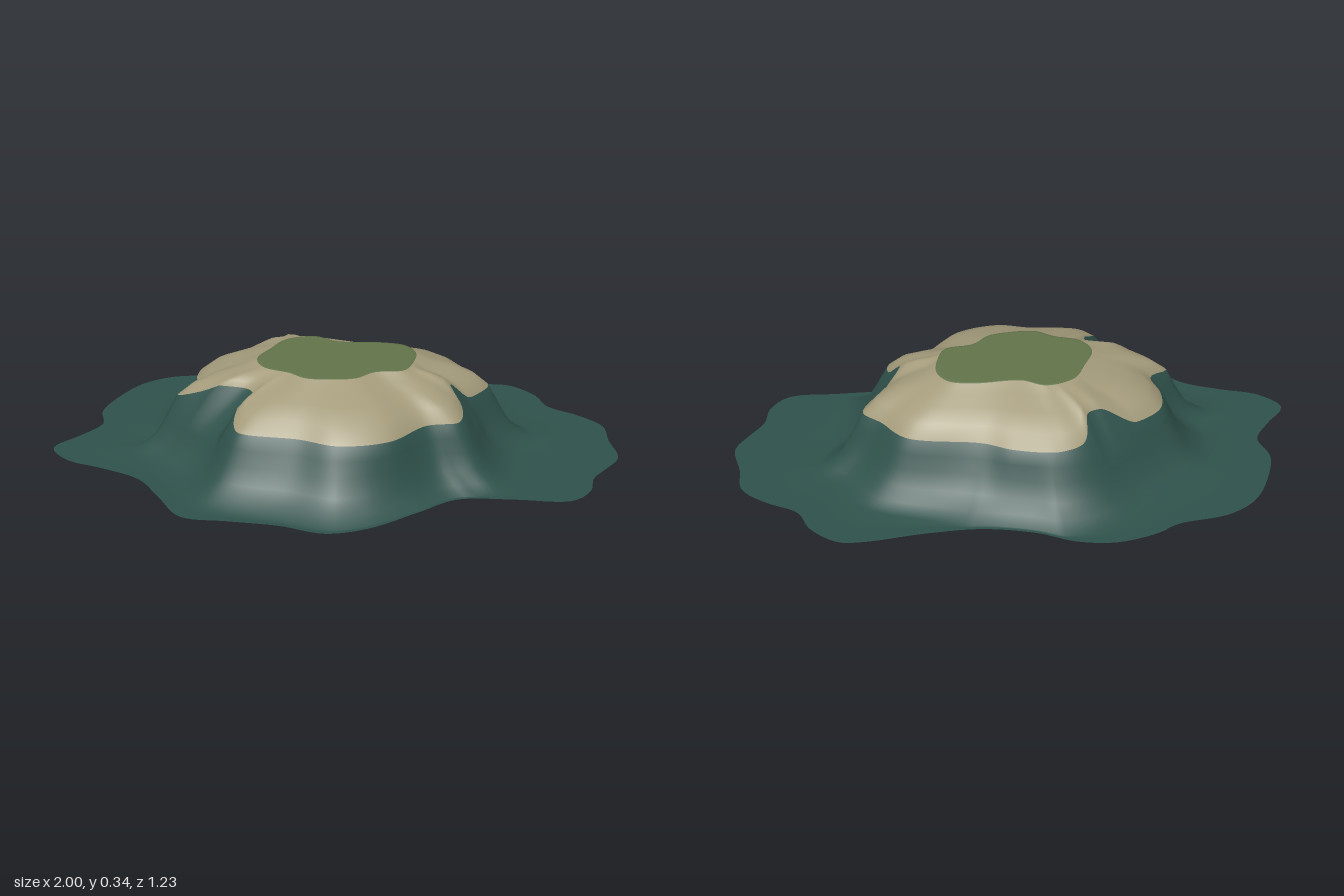
import * as THREE from 'three';

const SEGMENTS = 240;

// Contour lines of the island as [x, z] points, running round the centre
const shoreLine = [
  [1, .05], [.98, -.08], [.97, -.19], [.89, -.27], [.78, -.34], [.74, -.43], [.65, -.51], [.57, -.52],
  [.35, -.5], [.17, -.5], [0, -.54], [-.13, -.6], [-.26, -.62], [-.4, -.59], [-.48, -.55], [-.66, -.52],
  [-.77, -.45], [-.86, -.29], [-.88, -.21], [-.86, -.11], [-.92, -.02], [-1, .08], [-.93, .17], [-.8, .22],
  [-.66, .29], [-.57, .41], [-.48, .53], [-.32, .55], [-.15, .57], [0, .61], [.14, .57], [.3, .46],
  [.43, .37], [.62, .36], [.81, .36], [.88, .29], [.9, .2], [.95, .13],
];
const cliffLine = [
  [.47, .03], [.54, -.08], [.48, -.15], [.4, -.25], [.15, -.31], [.05, -.36], [-.1, -.39], [-.2, -.37],
  [-.29, -.31], [-.38, -.25], [-.48, -.18], [-.5, -.08], [-.49, 0], [-.55, .06], [-.47, .13], [-.37, .22],
  [-.31, .33], [-.1, .37], [.03, .41], [.2, .37], [.32, .25], [.43, .22], [.46, .1],
];
const sandLine = [
  [.47, .03], [.54, -.08], [.48, -.15], [.4, -.25], [.15, -.31], [.05, -.36], [-.1, -.39], [-.19, -.36],
  [-.21, -.28], [-.26, -.26], [-.38, -.25], [-.48, -.18], [-.5, -.08], [-.48, 0], [-.55, .06], [-.42, .12],
  [-.29, .15], [-.27, .19], [-.32, .25], [-.31, .33], [-.1, .37], [.03, .41], [.2, .37], [.32, .25],
  [.43, .22], [.44, .13], [.4, .08],
];
const grassLine = [
  [.28, -.06], [.24, -.12], [.15, -.14], [0, -.14], [-.08, -.18], [-.18, -.15], [-.23, -.07], [-.27, .02],
  [-.24, .09], [-.15, .13], [-.09, .17], [0, .175], [.08, .16], [.14, .11], [.24, .09], [.27, .03],
];

// Radius of a contour at each of the evenly spaced angles
function radii(line) {
  const curve = new THREE.CatmullRomCurve3(line.map(([x, z]) => new THREE.Vector3(x, 0, z)), true);
  const polar = curve.getPoints(800).slice(1)
    .map((p) => ({ a: Math.atan2(p.z, p.x), r: Math.hypot(p.x, p.z) }))
    .sort((p, q) => p.a - q.a);
  const last = polar[polar.length - 1];
  const ring = [{ a: last.a - 2 * Math.PI, r: last.r }, ...polar, { a: polar[0].a + 2 * Math.PI, r: polar[0].r }];
  let k = 0;
  return Array.from({ length: SEGMENTS }, (_, i) => {
    const a = -Math.PI + (2 * Math.PI * i) / SEGMENTS;
    while (k < ring.length - 2 && ring[k + 1].a < a) k++;
    const t = (a - ring[k].a) / Math.max(1e-6, ring[k + 1].a - ring[k].a);
    return THREE.MathUtils.lerp(ring[k].r, ring[k + 1].r, THREE.MathUtils.clamp(t, 0, 1));
  });
}

export function createModel() {
  const material = (name, color) => {
    const m = new THREE.MeshStandardMaterial({ color, side: THREE.DoubleSide });
    m.name = name;
    return m;
  };
  const materials = [
    material('grass green', 0x62744a),
    material('sand tan', 0xa49b7b),
    material('deep teal', 0x2f514b),
  ];

  const shore = radii(shoreLine), cliff = radii(cliffLine);
  const sand = radii(sandLine), grass = radii(grassLine);
  const sandHeight = (i) => 0.212 + THREE.MathUtils.clamp((cliff[i] - sand[i]) * 1.2, 0, 0.073);

  // Rings from the summit outwards, each giving [radius, height] at angle i
  const plateau = (f) => (i) => [grass[i] * f, 0.34];
  const shoulder = (t, drop) => (i) => [
    THREE.MathUtils.lerp(grass[i], sand[i], t),
    THREE.MathUtils.lerp(0.34, sandHeight(i), drop),
  ];
  const slope = (offset, share, y) => (i) => [
    cliff[i] + Math.min(offset, (shore[i] - cliff[i]) * share), y,
  ];
  const flat = (t) => (i) => {
    const foot = slope(0.18, 0.9, 0)(i)[0];
    return [THREE.MathUtils.lerp(foot, shore[i], t), 0];
  };
  const rings = [
    plateau(0.5), plateau(0.95), plateau(1),
    shoulder(0.2, 0.2), shoulder(0.5, 0.37), shoulder(0.8, 0.65), shoulder(1, 1),
    slope(0.025, 0.12, 0.165), slope(0.05, 0.25, 0.118), slope(0.085, 0.43, 0.06),
    slope(0.13, 0.66, 0.024), flat(0), flat(0.5), flat(1),
  ];

  const positions = [0, 0.34, 0];
  for (const ring of rings) {
    for (let i = 0; i < SEGMENTS; i++) {
      const a = -Math.PI + (2 * Math.PI * i) / SEGMENTS;
      const [r, y] = ring(i);
      positions.push(r * Math.cos(a), y, r * Math.sin(a));
    }
  }

  // Summit fan, then bands between neighbouring rings
  const indices = [];
  const at = (ring, i) => 1 + ring * SEGMENTS + (i % SEGMENTS);
  for (let i = 0; i < SEGMENTS; i++) indices.push(0, at(0, i + 1), at(0, i));
  const bandEnds = [indices.length];
  for (let k = 0; k < rings.length - 1; k++) {
    for (let i = 0; i < SEGMENTS; i++) {
      const a = at(k, i), b = at(k, i + 1), c = at(k + 1, i + 1), d = at(k + 1, i);
      indices.push(a, b, c, a, c, d);
    }
    bandEnds.push(indices.length);
  }

  const geometry = new THREE.BufferGeometry();
  geometry.setAttribute('position', new THREE.Float32BufferAttribute(positions, 3));
  geometry.setIndex(indices);
  geometry.computeVertexNormals();

  // Grass plateau, sandy shoulder, teal slope and shore
  const grassEnd = bandEnds[2], sandEnd = bandEnds[6];
  geometry.addGroup(0, grassEnd, 0);
  geometry.addGroup(grassEnd, sandEnd - grassEnd, 1);
  geometry.addGroup(sandEnd, indices.length - sandEnd, 2);

  const terrain = new THREE.Mesh(geometry, materials);
  terrain.name = 'terrain';
  const island = new THREE.Group();
  island.name = 'island';
  island.add(terrain);
  return island;
}
